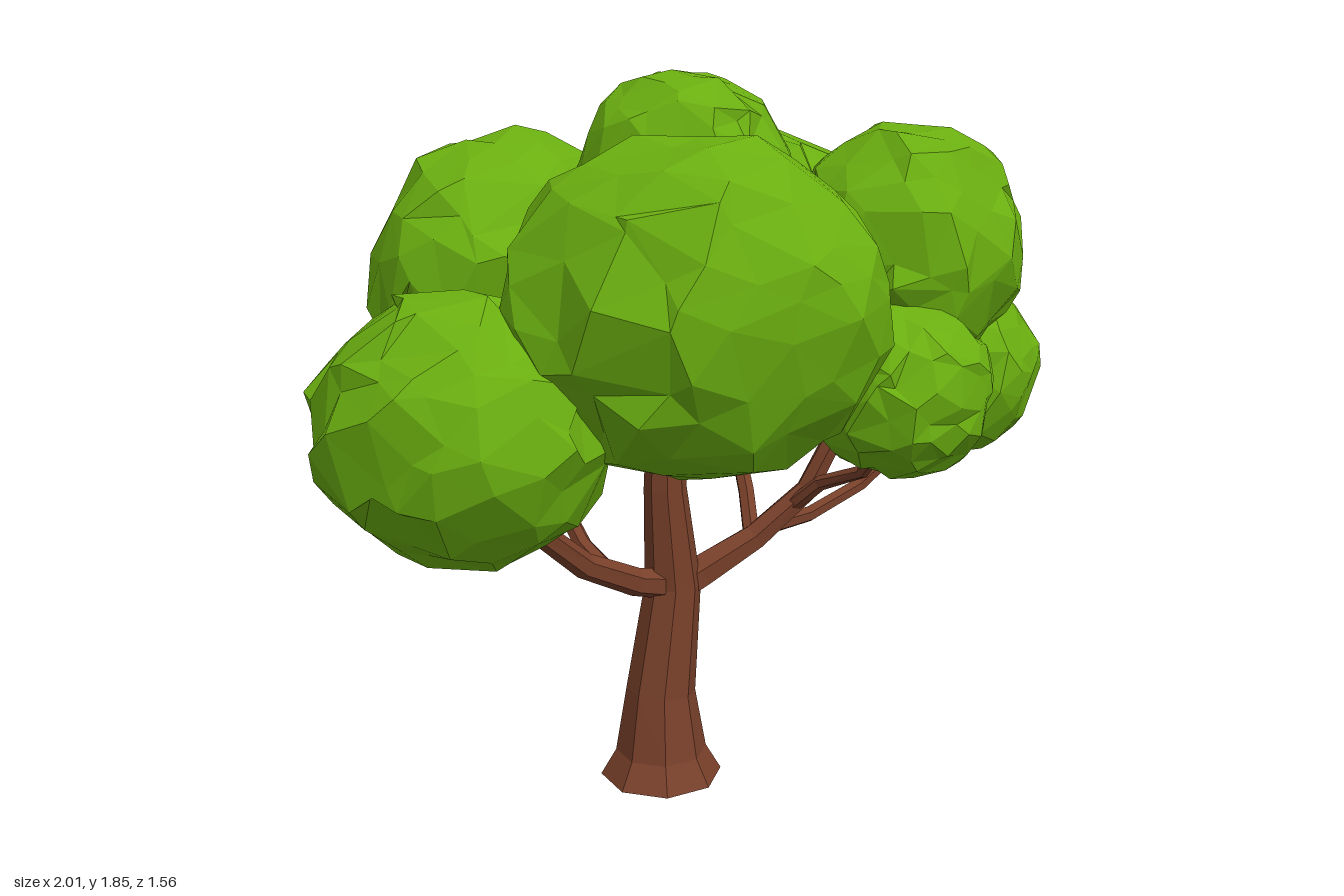
import * as THREE from 'three';
import { mergeVertices } from 'three/addons/utils/BufferGeometryUtils.js';

const bark = new THREE.MeshStandardMaterial({ color: 0x78402a, flatShading: true });
const leaf = new THREE.MeshStandardMaterial({ color: 0x6aae10, flatShading: true });

// Small seeded generator, 0..1
function seeded(seed) {
  let s = seed * 7919 + 17;
  return () => (s = (s * 16807) % 2147483647) / 2147483647;
}

// Tapered, faceted limb through [x, y, z, radius] stations, with capped ends
function limb(name, stations, sides) {
  const pts = stations.map(([x, y, z]) => new THREE.Vector3(x, y, z));
  const pos = [], idx = [], last = pts.length - 1;
  pts.forEach((p, i) => {
    const t = pts[Math.min(i + 1, last)].clone().sub(pts[Math.max(i - 1, 0)]).normalize();
    if (i === 0 && p.y === 0) t.set(0, 1, 0);
    const u = new THREE.Vector3(0, 0, 1).addScaledVector(t, -t.z).normalize();
    const v = new THREE.Vector3().crossVectors(t, u);
    for (let k = 0; k < sides; k++) {
      const a = ((k + 0.5) / sides) * Math.PI * 2;
      const q = p.clone()
        .addScaledVector(u, Math.cos(a) * stations[i][3])
        .addScaledVector(v, Math.sin(a) * stations[i][3]);
      pos.push(q.x, q.y, q.z);
      if (i < last) {
        const a0 = i * sides + k, b0 = i * sides + ((k + 1) % sides);
        idx.push(a0, b0, a0 + sides, b0, b0 + sides, a0 + sides);
      }
    }
  });
  for (let k = 1; k < sides - 1; k++) {
    const e = last * sides;
    idx.push(0, k + 1, k, e, e + k, e + k + 1);
  }
  const indexed = new THREE.BufferGeometry();
  indexed.setAttribute('position', new THREE.Float32BufferAttribute(pos, 3));
  indexed.setIndex(idx);
  const geo = indexed.toNonIndexed();
  geo.computeVertexNormals();
  const mesh = new THREE.Mesh(geo, bark);
  mesh.name = name;
  return mesh;
}

// Crumpled low-poly ball of leaves, turned about the upright axis
function foliage(name, [x, y, z], [rx, ry, rz], turn, seed) {
  const rnd = seeded(seed);
  let geo = new THREE.IcosahedronGeometry(1, 3);
  geo.deleteAttribute('normal');
  geo.deleteAttribute('uv');
  geo = mergeVertices(geo, 1e-3);
  const p = geo.attributes.position, v = new THREE.Vector3();
  for (let i = 0; i < p.count; i++) {
    v.fromBufferAttribute(p, i);
    v.x += (rnd() - 0.5) * 0.25;
    v.y += (rnd() - 0.5) * 0.25;
    v.z += (rnd() - 0.5) * 0.25;
    v.normalize().multiplyScalar(0.93 + rnd() * 0.11);
    p.setXYZ(i, v.x * rx, v.y * ry, v.z * rz);
  }
  geo = geo.toNonIndexed();
  geo.computeVertexNormals();
  const mesh = new THREE.Mesh(geo, leaf);
  mesh.position.set(x, y, z);
  mesh.rotation.y = turn;
  mesh.name = name;
  return mesh;
}

export function createModel() {
  const tree = new THREE.Group();
  tree.name = 'tree';

  // Flared trunk, narrowing into the crown
  tree.add(limb('trunk', [
    [-0.09, 0, 0.015, 0.163], [-0.09, 0.07, 0.015, 0.122], [-0.09, 0.24, 0.015, 0.093],
    [-0.05, 0.53, 0.01, 0.075], [-0.075, 0.8, 0.015, 0.056], [-0.075, 1.05, 0.015, 0.045],
  ], 8));

  // Main boughs and their offshoots
  const limbs = {
    rightBough: [[-0.04, 0.52, 0.01, 0.05], [0.03, 0.55, 0.015, 0.048],
      [0.18, 0.635, 0.05, 0.038], [0.31, 0.76, 0.1, 0.032], [0.37, 0.9, 0.13, 0.028], [0.42, 1.2, 0.22, 0.022]],
    rightOuterBranch: [[0.2, 0.66, 0.06, 0.024], [0.34, 0.68, 0.07, 0.022],
      [0.5, 0.745, 0.08, 0.02], [0.6, 0.83, 0.1, 0.018], [0.68, 0.98, 0.12, 0.015]],
    rightFrontBranch: [[0.27, 0.72, 0.09, 0.022], [0.3, 0.8, 0.18, 0.02],
      [0.33, 0.86, 0.32, 0.018], [0.32, 1.0, 0.46, 0.015]],
    rightBackBranch: [[0.17, 0.63, 0.05, 0.024], [0.2, 0.74, -0.03, 0.023],
      [0.22, 0.86, -0.12, 0.021], [0.26, 1.05, -0.2, 0.018]],
    upperBranch: [[-0.06, 0.75, 0.01, 0.028], [0.01, 0.85, -0.04, 0.026],
      [0.07, 0.97, -0.09, 0.024], [0.12, 1.2, -0.13, 0.02]],
    leftBough: [[-0.04, 0.53, 0.02, 0.045], [-0.17, 0.56, 0.03, 0.038], [-0.33, 0.64, 0.06, 0.034],
      [-0.48, 0.77, 0.1, 0.03], [-0.6, 0.95, 0.13, 0.024]],
    leftBackBranch: [[-0.24, 0.59, 0.03, 0.025], [-0.26, 0.64, -0.1, 0.024],
      [-0.28, 0.75, -0.21, 0.022], [-0.31, 0.9, -0.27, 0.02], [-0.32, 1.05, -0.3, 0.017]],
  };
  for (const [name, stations] of Object.entries(limbs)) tree.add(limb(name, stations, 6));

  // Crown of leaf clusters, the outer ones longer around the crown than across it
  const q = Math.PI / 4;
  [
    ['frontLeftFoliage', [-0.2, 1.32, 0.375], [0.45, 0.4, 0.365], -q],
    ['backLeftFoliage', [-0.32, 1.31, -0.38], [0.445, 0.41, 0.355], q],
    ['backRightFoliage', [0.41, 1.29, -0.35], [0.435, 0.41, 0.33], -q],
    ['frontRightFoliage', [0.47, 1.425, 0.29], [0.355, 0.315, 0.29], q],
    ['topFoliage', [0.02, 1.565, -0.05], [0.285, 0.3, 0.28], 0],
    ['leftFoliage', [-0.67, 1.05, 0.135], [0.365, 0.325, 0.305], -q],
    ['rightFoliage', [0.745, 1.065, 0.12], [0.26, 0.255, 0.25], -q],
    ['lowFrontFoliage', [0.31, 1.11, 0.49], [0.225, 0.22, 0.225], 0],
  ].forEach(([name, centre, radii, turn], i) => tree.add(foliage(name, centre, radii, turn, i + 1)));

  return tree;
}
